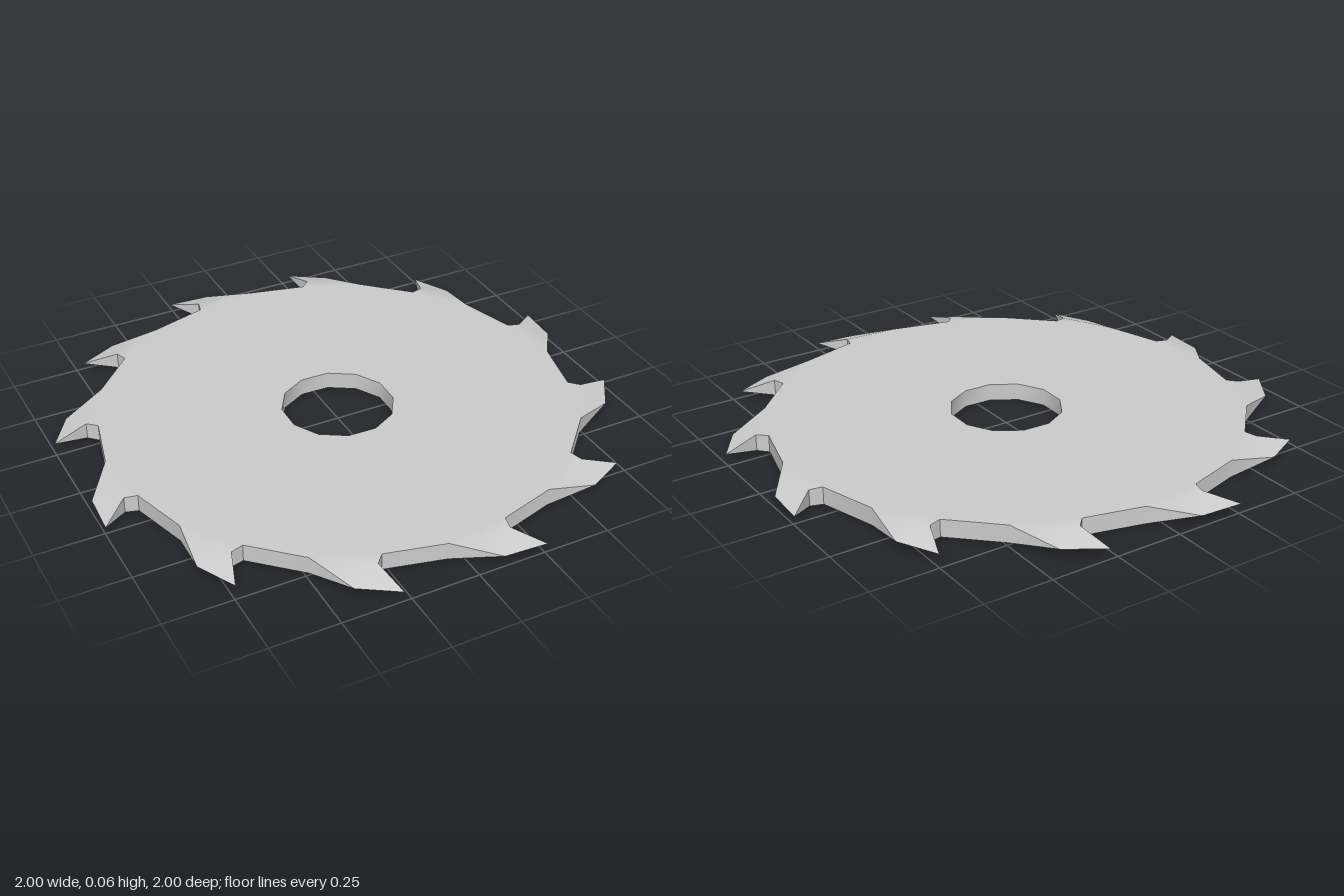
import * as THREE from 'three';
import { mergeVertices, toCreasedNormals } from 'three/addons/utils/BufferGeometryUtils.js';

const TEETH = 12;
const MID = 0.0325; // half of the blade thickness

// One tooth, as [radius, angle in degrees, share of full half-thickness]
const PROFILE = {
  hole: [0.208, -13.5, 1],
  valley: [0.874, -12.2, 1],
  notch: [0.917, -10.9, 0.95],
  tip: [1.033, -14.6, 0],
  back: [0.996, -5.8, 0],
  slope: [0.886, 3.2, 1],
};

// Point of tooth i; side is +1 on the upper face, -1 on the lower face
function point(name, i, side) {
  const [r, deg, h] = PROFILE[name];
  const a = THREE.MathUtils.degToRad(deg + (i * 360) / TEETH);
  return new THREE.Vector3(r * Math.sin(a), MID + side * h * MID, -r * Math.cos(a));
}

// Triangles of one tooth sector: name, and 1 for a point of the next sector
const DISC = [
  [['hole', 0], ['hole', 1], ['slope', 0]],
  [['hole', 1], ['valley', 1], ['slope', 0]],
  [['hole', 0], ['slope', 0], ['valley', 0]],
];
const BEVEL = [
  [['valley', 0], ['slope', 0], ['notch', 0]],
  [['notch', 0], ['slope', 0], ['back', 0]],
  [['notch', 0], ['back', 0], ['tip', 0]],
];

// Side walls; tip to back is a knife edge and needs none
const WALLS = [
  [['valley', 0], ['notch', 0]],
  [['notch', 0], ['tip', 0]],
  [['back', 0], ['slope', 0]],
  [['slope', 0], ['valley', 1]],
];
const BORE = [[['hole', 1], ['hole', 0]]];

function addTriangle(out, a, b, c) {
  if (a.equals(b) || b.equals(c) || c.equals(a)) return;
  for (const p of [a, b, c]) out.push(p.x, p.y, p.z);
}

function makeGeometry(positions) {
  const geometry = new THREE.BufferGeometry();
  geometry.setAttribute('position', new THREE.Float32BufferAttribute(positions, 3));
  return geometry;
}

function faceGeometry(triangles, side) {
  const out = [];
  for (let i = 0; i < TEETH; i++) {
    for (const tri of triangles) {
      const [a, b, c] = tri.map(([name, step]) => point(name, i + step, side));
      if (side > 0) addTriangle(out, a, b, c);
      else addTriangle(out, a, c, b);
    }
  }
  return makeGeometry(out);
}

function wallGeometry(walls) {
  const out = [];
  for (let i = 0; i < TEETH; i++) {
    for (const [[p, ps], [q, qs]] of walls) {
      const pb = point(p, i + ps, -1), pt = point(p, i + ps, 1);
      const qb = point(q, i + qs, -1), qt = point(q, i + qs, 1);
      addTriangle(out, qb, pb, pt);
      addTriangle(out, qb, pt, qt);
    }
  }
  return makeGeometry(out);
}

export function createModel() {
  const group = new THREE.Group();
  group.name = 'circularSawBlade';
  // The blade is an open shell, hollow from below
  const material = new THREE.MeshStandardMaterial({ color: 0xcccccc, side: THREE.DoubleSide });

  const add = (name, geometry) => {
    const mesh = new THREE.Mesh(geometry, material);
    mesh.name = name;
    group.add(mesh);
  };

  // Upper disc, blending softly into the tooth bevels
  const upper = mergeVertices(faceGeometry([...DISC, ...BEVEL], 1));
  upper.computeVertexNormals();
  add('upperFace', upper);

  // Undersides of the teeth only
  add('lowerToothBevels', toCreasedNormals(faceGeometry(BEVEL, -1), 0.4));

  add('toothEdges', toCreasedNormals(wallGeometry(WALLS), 0.4));
  add('boreWall', toCreasedNormals(wallGeometry(BORE), 0.6));
  return group;
}
